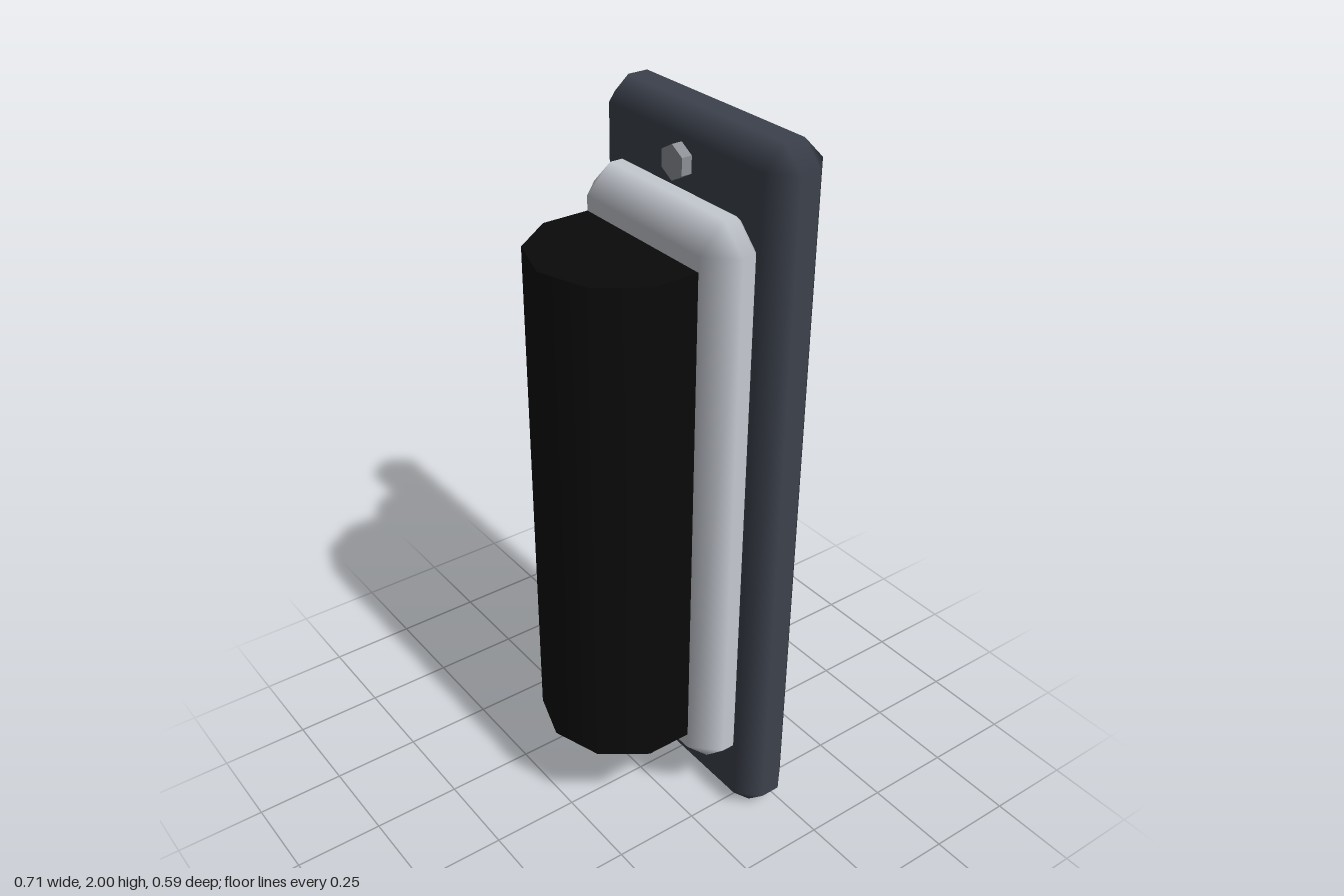
import * as THREE from 'three';

const material = (color, flatShading = false) => new THREE.MeshStandardMaterial({ color, flatShading });

// Box with a single 45 degree bevel: flat main faces, softly shaded bevels and corners
function bevelledBox(w, h, d, bevel) {
  const half = [w / 2, h / 2, d / 2];
  const positions = [], normals = [], index = [];
  const ids = new Map();

  // One vertex per main face (axis) at every corner
  const vertex = (axis, corner) => {
    const key = axis + ':' + corner.join();
    if (!ids.has(key)) {
      ids.set(key, positions.length / 3);
      corner.forEach((s, k) => {
        positions.push(s * (half[k] - (k === axis ? 0 : bevel)));
        normals.push(k === axis ? s : 0);
      });
    }
    return ids.get(key);
  };
  const point = (i) => new THREE.Vector3().fromArray(positions, i * 3);

  // Triangle turned so that it faces the given outward direction
  const triangle = (a, b, c, out) => {
    const n = point(b).sub(point(a)).cross(point(c).sub(point(a)));
    if (n.dot(out) > 0) index.push(a, b, c);
    else index.push(a, c, b);
  };
  const quad = (a, b, c, e, out) => {
    triangle(a, b, c, out);
    triangle(a, c, e, out);
  };
  const signs = (i, si, j, sj, k, sk) => {
    const corner = [0, 0, 0];
    corner[i] = si; corner[j] = sj; corner[k] = sk;
    return corner;
  };
  const direction = (corner) => new THREE.Vector3().fromArray(corner);

  for (let i = 0; i < 3; i++) {
    const j = (i + 1) % 3, k = (i + 2) % 3;
    for (const si of [-1, 1]) {
      // Main face
      const at = (sj, sk) => vertex(i, signs(i, si, j, sj, k, sk));
      quad(at(-1, -1), at(1, -1), at(1, 1), at(-1, 1), direction(signs(i, si, j, 0, k, 0)));
      // Bevels between faces i and j
      for (const sj of [-1, 1]) {
        const low = signs(i, si, j, sj, k, -1), high = signs(i, si, j, sj, k, 1);
        quad(vertex(i, low), vertex(i, high), vertex(j, high), vertex(j, low),
          direction(signs(i, si, j, sj, k, 0)));
      }
    }
  }
  // Corner triangles
  for (const x of [-1, 1]) for (const y of [-1, 1]) for (const z of [-1, 1]) {
    const c = [x, y, z];
    triangle(vertex(0, c), vertex(1, c), vertex(2, c), direction(c));
  }

  const geometry = new THREE.BufferGeometry();
  geometry.setAttribute('position', new THREE.Float32BufferAttribute(positions, 3));
  geometry.setAttribute('normal', new THREE.Float32BufferAttribute(normals, 3));
  geometry.setIndex(index);
  return geometry;
}

export function createModel() {
  const group = new THREE.Group();
  const add = (name, geometry, mat, y, z) => {
    const mesh = new THREE.Mesh(geometry, mat);
    mesh.name = name;
    mesh.position.set(0, y, z);
    group.add(mesh);
  };

  // Dark mounting plate at the back
  add('backPlate', bevelledBox(0.706, 2, 0.175, 0.059), material(0x3c414c), 1, -0.2065);

  // Pale frame, partly sunk into the plate
  add('frame', bevelledBox(0.588, 1.64, 0.178, 0.071), material(0xc4c8d0), 1, -0.089);

  // Ten-sided black column, its back half buried in the frame
  add('column', new THREE.CylinderGeometry(0.234, 0.234, 1.412, 10), material(0x0a0a0a), 1.004, 0.059);

  // Hexagonal bolt heads above and below the frame
  const boltGeometry = new THREE.CylinderGeometry(0.045, 0.045, 0.06, 6).rotateX(Math.PI / 2);
  const boltMaterial = material(0x8c9096, true);
  add('upperBolt', boltGeometry, boltMaterial, 1.883, -0.12);
  add('lowerBolt', boltGeometry, boltMaterial, 0.119, -0.12);

  return group;
}
